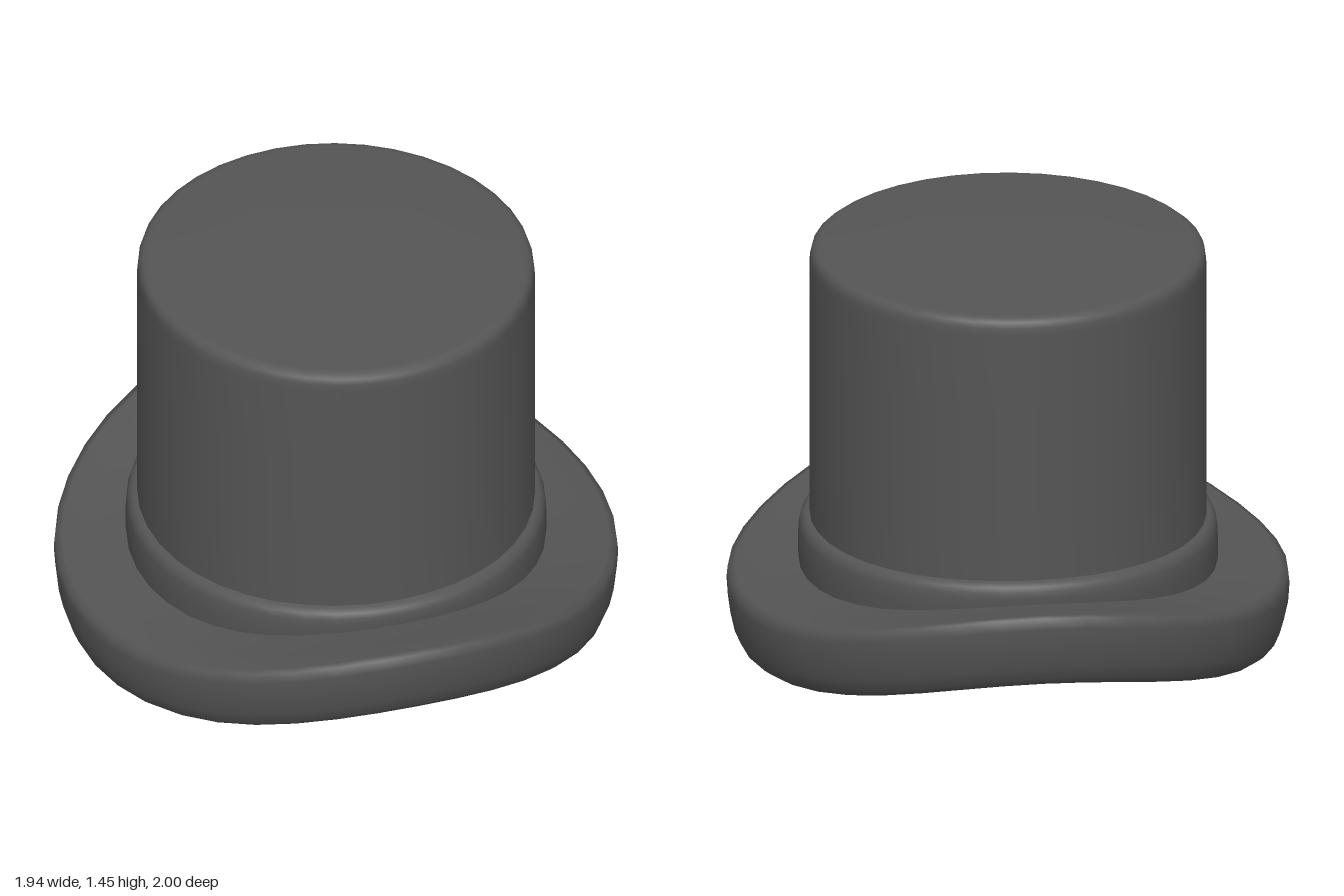
import * as THREE from 'three';
import { mergeVertices } from 'three/addons/utils/BufferGeometryUtils.js';

const SIDES = 40;
const X_SCALE = 0.97; // the hat is slightly narrower than it is deep

// Saddle curve: lifts front and back, drops the sides
function saddle(x, z) {
  const r = Math.hypot(x, z);
  if (r < 1e-4) return 0;
  const s = 2 * x * z / (r * r); // sin of the doubled angle
  return 0.105 * (z * z - x * x) - 0.028 * s * s * r * r;
}

// Revolve a profile, bend it by the saddle (weighted by height), smooth it
function bentLathe(name, profile, weight, material) {
  const points = profile.map(([r, y]) => new THREE.Vector2(r, y));
  let geo = new THREE.LatheGeometry(points, SIDES);
  const p = geo.attributes.position;
  for (let i = 0; i < p.count; i++) {
    const x = p.getX(i), y = p.getY(i), z = p.getZ(i);
    p.setXYZ(i, x * X_SCALE, y + weight(y) * saddle(x, z), z);
  }
  geo.deleteAttribute('uv');
  geo.deleteAttribute('normal');
  geo = mergeVertices(geo, 1e-4); // closes the seam
  geo.computeVertexNormals();
  const mesh = new THREE.Mesh(geo, material);
  mesh.name = name;
  return mesh;
}

export function createModel() {
  const hat = new THREE.Group();
  hat.name = 'topHat';
  const felt = new THREE.MeshStandardMaterial({ color: 0x555555 });
  const full = () => 1;

  // Brim: hollow underside, rounded lip, gently sloping top
  hat.add(bentLathe('brim', [
    [0.60, 0.28], [0.65, 0.262], [0.71, 0.228], [0.78, 0.175], [0.84, 0.13],
    [0.89, 0.11], [0.935, 0.107], [0.96, 0.13], [0.98, 0.18], [0.995, 0.25],
    [1.0, 0.32], [0.996, 0.36], [0.97, 0.367], [0.88, 0.363], [0.79, 0.36], [0.70, 0.358],
  ], full, felt));

  // Closed floor inside the hat
  hat.add(bentLathe('innerPanel', [[0, 0.28], [0.3, 0.28], [0.605, 0.28]], full, felt));

  // Band: follows the brim at its foot, almost level at its top
  const bandWeight = (y) => 1 - 0.8 * THREE.MathUtils.smoothstep(y, 0.34, 0.47);
  hat.add(bentLathe('band', [
    [0.74, 0.32], [0.745, 0.36], [0.746, 0.41], [0.744, 0.445],
    [0.736, 0.467], [0.72, 0.479], [0.695, 0.483],
  ], bandWeight, felt));

  // Crown wall with rounded top edge and flat lid
  hat.add(bentLathe('crown', [
    [0.705, 0.42], [0.705, 0.75], [0.705, 1.1], [0.705, 1.40], [0.703, 1.425],
    [0.697, 1.445], [0.682, 1.457], [0.66, 1.46], [0.4, 1.462], [0, 1.462],
  ], () => 0, felt));

  return hat;
}
